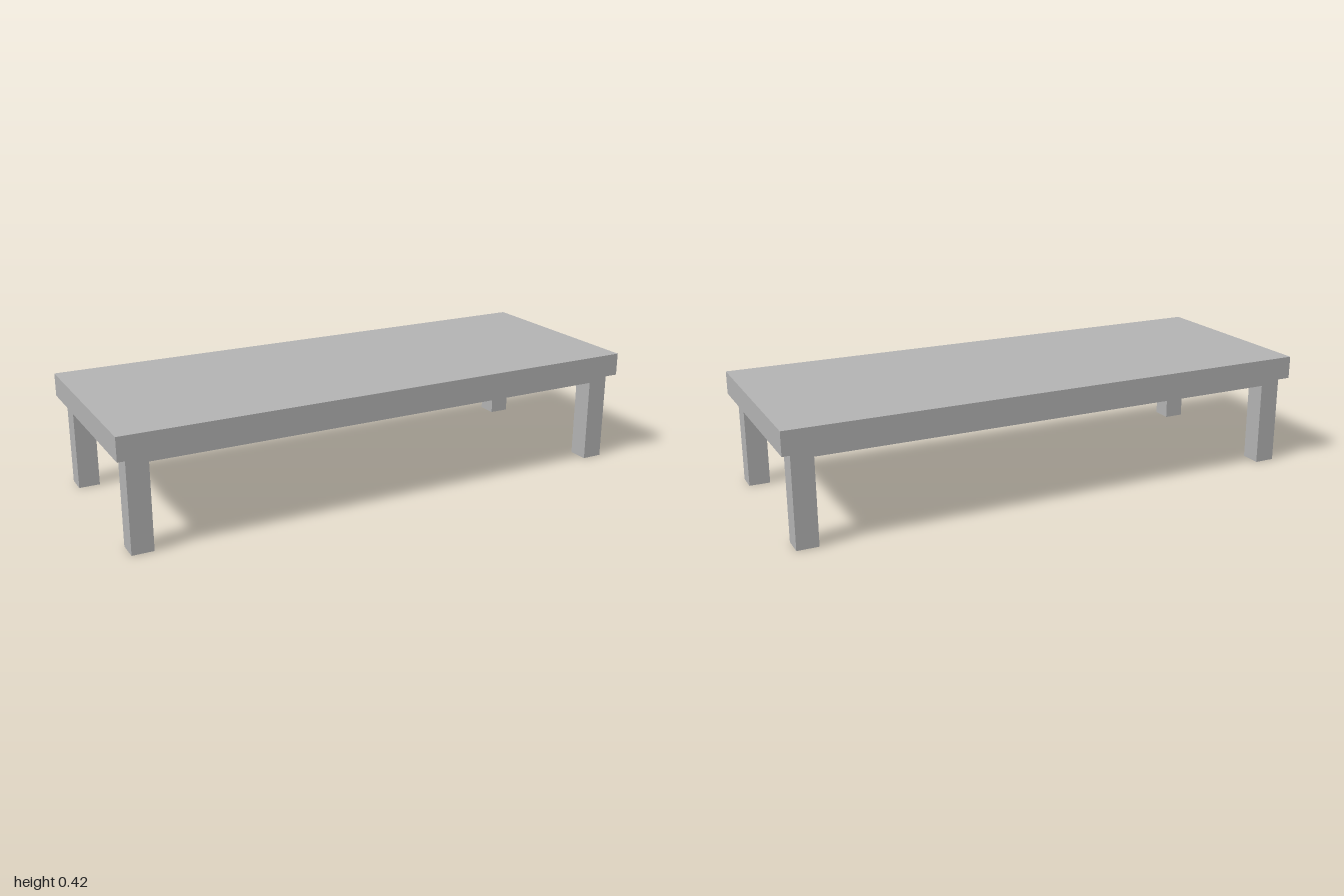
import * as THREE from 'three';

export function createModel() {
  const table = new THREE.Group();
  table.name = 'lowTable';

  const grey = new THREE.MeshStandardMaterial({ color: 0xb2b2b2 });
  grey.name = 'plain grey';

  // Box spanning y0..y1, centred on (x, z)
  const addBox = (name, width, depth, y0, y1, x = 0, z = 0) => {
    const mesh = new THREE.Mesh(new THREE.BoxGeometry(width, y1 - y0, depth), grey);
    mesh.name = name;
    mesh.position.set(x, (y0 + y1) / 2, z);
    table.add(mesh);
  };

  const legSize = 0.078;
  const frameX = 0.968, frameZ = 0.357;      // half extents of the underframe
  const frameBottom = 0.314, topBottom = 0.338, topHeight = 0.423;

  // Thick top with a thin, slightly inset slab beneath it
  addBox('tableTop', 2, 0.758, topBottom, topHeight);
  addBox('underframe', frameX * 2, frameZ * 2, frameBottom, topBottom);

  // Square legs flush with the underframe corners
  for (const [sx, side] of [[1, 'Left'], [-1, 'Right']]) {
    for (const [sz, end] of [[1, 'front'], [-1, 'back']]) {
      addBox(`${end}${side}Leg`, legSize, legSize, 0, frameBottom,
        sx * (frameX - legSize / 2), sz * (frameZ - legSize / 2));
    }
  }

  return table;
}
